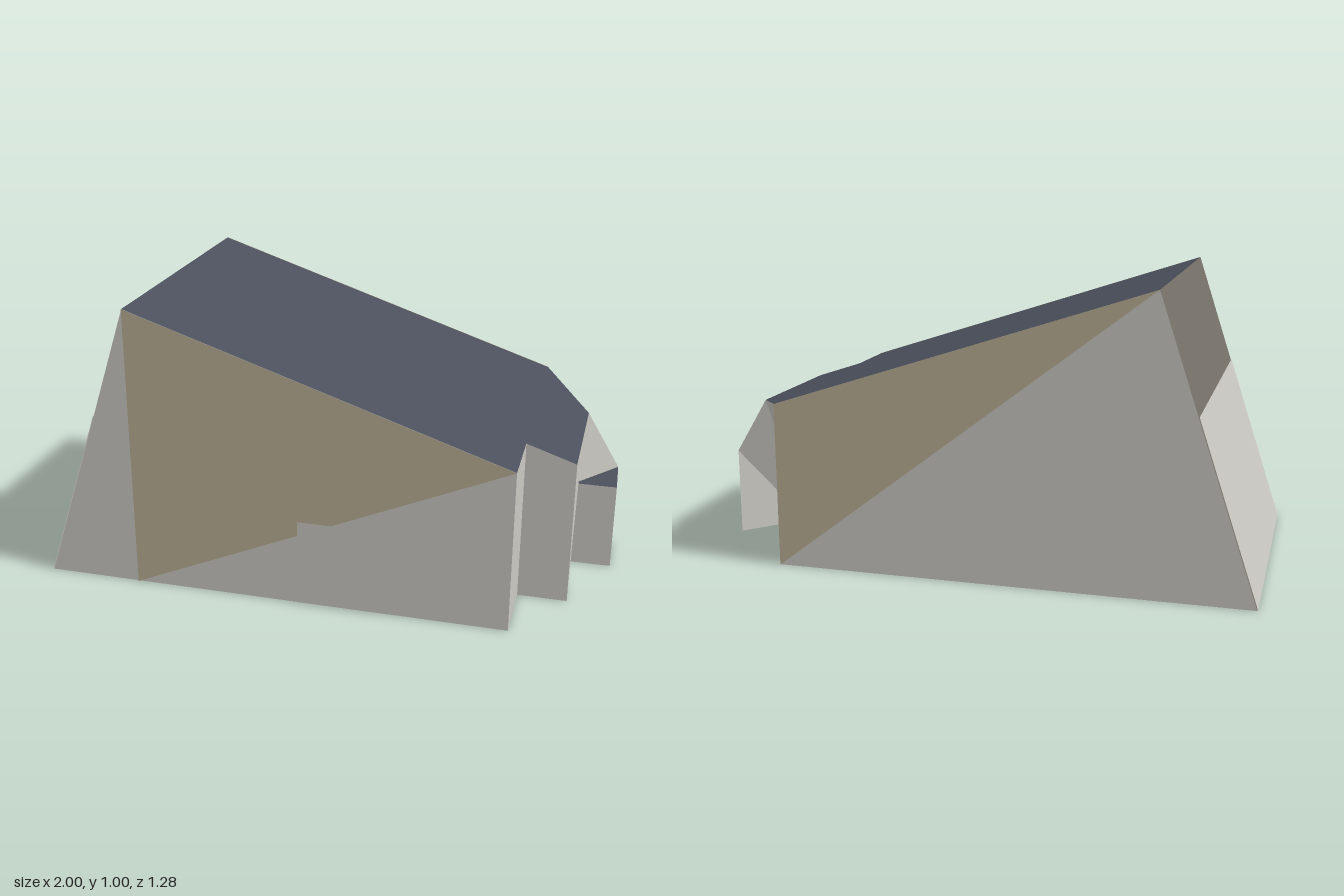
import * as THREE from 'three';

const material = (name, color) => {
  const m = new THREE.MeshStandardMaterial({ color, side: THREE.DoubleSide });
  m.name = name;
  return m;
};

// Flat faces, each a loop of corners (anticlockwise from outside) filled as a fan
function faces(name, mat, loops, lift = 0) {
  const pos = [];
  for (const loop of loops) {
    const [a, b, c] = loop;
    const n = b.clone().sub(a).cross(c.clone().sub(a)).normalize().multiplyScalar(lift);
    for (let i = 1; i < loop.length - 1; i++) {
      for (const p of [a, loop[i], loop[i + 1]]) pos.push(...p.clone().add(n).toArray());
    }
  }
  const g = new THREE.BufferGeometry();
  g.setAttribute('position', new THREE.Float32BufferAttribute(pos, 3));
  g.computeVertexNormals();
  const mesh = new THREE.Mesh(g, mat);
  mesh.name = name;
  return mesh;
}

export function createModel() {
  const plaster = material('pale grey plaster', 0xcbc9c3);
  const tan = material('tan cladding', 0xbcb095);
  const brown = material('dark brown cladding', 0x787269);
  const slate = material('blue slate', 0x4b505c);

  const v = (x, y, z) => new THREE.Vector3(x, y, z);
  const down = (p) => v(p.x, 0, p.z);
  const mix = (a, b, t) => a.clone().lerp(b, t);

  // Sloping end wall: foot and ridge
  const footF = v(-0.83, 0, 0.637), footB = v(-1, 0, -0.38);
  const ridgeF = v(-0.503, 1.003, 0.585), ridgeB = v(-0.672, 1.003, -0.433);
  // Eaves, from the front corner round to the back corner
  const frontCorner = v(0.79, 0.57, 0.372);
  const notchIn = v(0.75, 0.57, 0.13);
  const notchOut = v(0.918, 0.513, 0.102);
  const eaveTip = v(0.842, 0.513, -0.375);
  const backCorner = v(0.615, 0.572, -0.64);
  const eaveMid = mix(notchOut, eaveTip, 0.445);
  // Inset feet of the folded wall
  const footBack = v(0.67, 0, -0.345), footMid = v(0.82, 0, -0.178);
  // Porch roof corners
  const porchF = v(0.997, 0.313, -0.21), porchB = v(0.962, 0.313, -0.393);
  const porchIn = v(0.85, 0.313, -0.185);

  const model = new THREE.Group();

  model.add(faces('mainRoof', slate,
    [[ridgeB, ridgeF, frontCorner, notchIn, notchOut, eaveTip, backCorner]]));

  // Long walls with tan triangles
  model.add(faces('frontWall', plaster, [[footF, down(frontCorner), frontCorner, ridgeF]]));
  model.add(faces('frontCladding', tan, [[down(ridgeF), frontCorner, ridgeF]], 0.004));
  model.add(faces('backWall', plaster, [[down(backCorner), footB, ridgeB, backCorner]]));
  model.add(faces('backCladding', tan, [[down(backCorner), ridgeB, backCorner]], 0.004));

  // Door panel on the front wall
  const along = (x, y) => {
    const p = mix(footF, down(frontCorner), (x - footF.x) / (frontCorner.x - footF.x));
    return p.setY(y);
  };
  model.add(faces('doorPanel', plaster,
    [[along(0.08, 0.005), along(0.39, 0.005), along(0.39, 0.31), along(0.08, 0.31)]], 0.009));

  // Leaning end wall with its pale lower panel
  model.add(faces('leaningEndWall', brown, [[footB, footF, ridgeF, ridgeB]]));
  model.add(faces('leaningEndPanel', plaster,
    [[footB, footF, mix(footF, ridgeF, 0.61), mix(footB, ridgeB, 0.61)]], 0.003));

  // Notched and folded walls of the low end
  model.add(faces('notchedWall', plaster, [
    [down(frontCorner), down(notchIn), notchIn, frontCorner],
    [down(notchIn), down(notchOut), notchOut, notchIn],
  ]));
  model.add(faces('foldedWall', plaster, [
    [down(notchOut), eaveMid, notchOut],
    [down(notchOut), footMid, eaveMid],
    [footMid, eaveTip, eaveMid],
    [footMid, footBack, eaveTip],
    [footBack, backCorner, eaveTip],
    [footBack, down(backCorner), backCorner],
  ]));

  // Small porch
  model.add(faces('porchRoof', slate, [[porchIn, porchF, porchB]]));
  model.add(faces('porchWalls', plaster, [
    [footMid, down(porchF), porchF, porchIn],
    [down(porchF), down(porchB), porchB, porchF],
    [down(porchB), footMid, porchB],
    [footMid, eaveTip, porchB],
  ]));

  return model;
}
